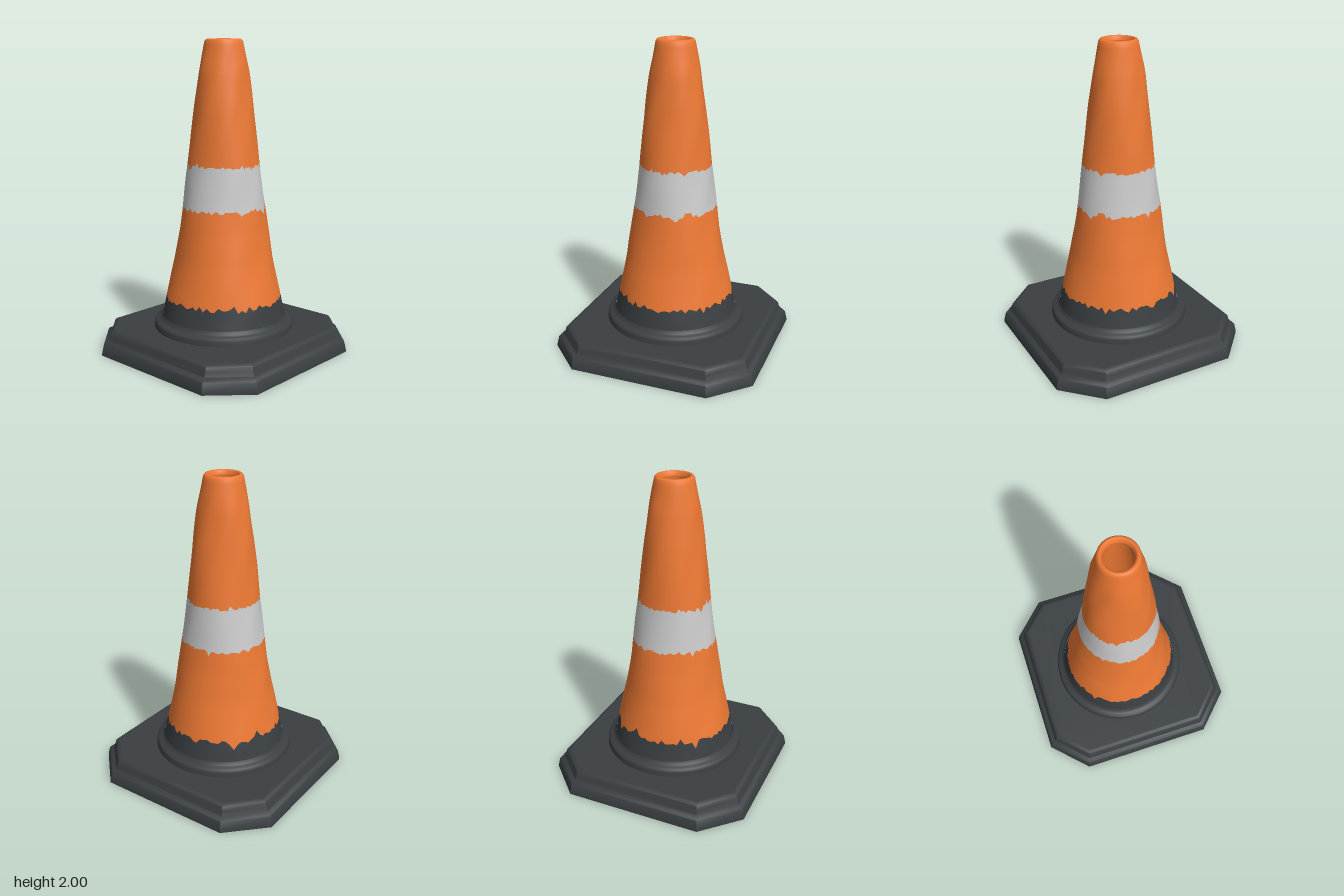
import * as THREE from 'three';
import { toCreasedNormals } from 'three/addons/utils/BufferGeometryUtils.js';

const SEG = 96;
const orange = new THREE.MeshStandardMaterial({ color: 0xee7934 });
const dark = new THREE.MeshStandardMaterial({ color: 0x3a3f42 });
const grey = new THREE.MeshStandardMaterial({ color: 0xcccccc });

function seeded(seed) {
  return () => (seed = (seed * 16807) % 2147483647) / 2147483647;
}

// Cone outline as [height, radius]
const OUTLINE = [[0.2, 0.405], [0.36, 0.373], [0.6, 0.32], [0.8, 0.286], [1, 0.258], [1.2, 0.232],
  [1.4, 0.21], [1.6, 0.186], [1.8, 0.158], [1.9, 0.138], [1.96, 0.126], [2, 0.118]];

function coneRadius(y) {
  let i = 0;
  while (i < OUTLINE.length - 2 && y > OUTLINE[i + 1][0]) i++;
  const [y0, r0] = OUTLINE[i], [y1, r1] = OUTLINE[i + 1];
  return r0 + (r1 - r0) * (y - y0) / (y1 - y0);
}

// Point on the slightly dented cone wall
function conePoint(a, y) {
  const fade = Math.min(1, (y - 0.22) * 8, (1.96 - y) * 8);
  const dent = 0.0022 * Math.sin(3 * a + 7 * y) + 0.0016 * Math.sin(7 * a - 13 * y + 1);
  const r = coneRadius(y) + Math.max(0, fade) * dent;
  return new THREE.Vector3(r * Math.sin(a), y, r * Math.cos(a));
}

// Ragged paint line around the cone, with a few longer spikes
function raggedEdge(y, size, seed) {
  const rnd = seeded(seed);
  const e = Array.from({ length: SEG }, () => {
    const spike = rnd() < 0.14 ? 2.2 : 0.8;
    return y + (rnd() - 0.5) * size * spike;
  });
  return [...e, e[0]];
}

function flatEdge(y) {
  return new Array(SEG + 1).fill(y);
}

// Wall of the cone between two paint lines
function coneBand(low, high, rows) {
  const pos = [], nor = [], idx = [];
  for (let j = 0; j <= rows; j++) {
    for (let i = 0; i <= SEG; i++) {
      const a = i / SEG * Math.PI * 2;
      const y = low[i] + (high[i] - low[i]) * j / rows;
      const p = conePoint(a, y);
      const da = conePoint(a + 0.03, y).sub(conePoint(a - 0.03, y));
      const dy = conePoint(a, y + 0.03).sub(conePoint(a, y - 0.03));
      const n = da.cross(dy).normalize();
      pos.push(p.x, p.y, p.z);
      nor.push(n.x, n.y, n.z);
      if (i < SEG && j < rows) {
        const k = j * (SEG + 1) + i, m = k + SEG + 1;
        idx.push(k, k + 1, m + 1, k, m + 1, m);
      }
    }
  }
  const g = new THREE.BufferGeometry();
  g.setAttribute('position', new THREE.Float32BufferAttribute(pos, 3));
  g.setAttribute('normal', new THREE.Float32BufferAttribute(nor, 3));
  g.setIndex(idx);
  return g;
}

// Square with cut corners, inset evenly from the widest outline
function octagon(h) {
  const c = 0.445 - (0.67 - h) * 0.414;
  return [[h, -c], [h, c], [c, h], [-c, h], [-h, c], [-h, -c], [-c, -h], [c, -h]];
}

// Skin through a stack of octagons given as [half width, height]
function octagonSkin(profile) {
  const pos = [], idx = [];
  profile.forEach(([h, y], j) => octagon(h).forEach(([x, z], i) => {
    pos.push(x, y, -z);
    if (j < profile.length - 1) {
      const a = j * 8 + i, b = j * 8 + (i + 1) % 8;
      idx.push(a, b, b + 8, a, b + 8, a + 8);
    }
  }));
  const g = new THREE.BufferGeometry();
  g.setAttribute('position', new THREE.Float32BufferAttribute(pos, 3));
  g.setIndex(idx);
  return toCreasedNormals(g, 0.7);
}

// Flat octagon sheet with a round hole
function octagonSheet(h, hole, y, facing) {
  const s = new THREE.Shape(octagon(h).map(([x, z]) => new THREE.Vector2(x, z)));
  s.holes.push(new THREE.Path().absarc(0, 0, hole, 0, Math.PI * 2, true));
  return new THREE.ShapeGeometry(s, 48).rotateX(-facing * Math.PI / 2).translate(0, y, 0);
}

function lathe(points) {
  return new THREE.LatheGeometry(points.map(([r, y]) => new THREE.Vector2(r, y)), SEG);
}

export function createModel() {
  const model = new THREE.Group();
  const add = (name, geometry, material) => {
    const mesh = new THREE.Mesh(geometry, material);
    mesh.name = name;
    model.add(mesh);
  };

  // Painted cone wall, from the foot up
  const footLine = raggedEdge(0.355, 0.045, 11);
  const stripeLow = raggedEdge(0.942, 0.025, 29);
  const stripeHigh = raggedEdge(1.215, 0.025, 47);
  add('coneFoot', coneBand(flatEdge(0.215), footLine, 5), dark);
  add('lowerCone', coneBand(footLine, stripeLow, 16), orange);
  add('reflectiveStripe', coneBand(stripeLow, stripeHigh, 8), grey);
  add('upperCone', coneBand(stripeHigh, flatEdge(1.96), 20), orange);

  // Rounded mouth and hollow inside
  add('topRim', lathe([[0.126, 1.96], [0.121, 1.985], [0.112, 1.997], [0.101, 2],
    [0.091, 1.992], [0.086, 1.97]]), orange);
  add('innerWall', lathe([[0.086, 1.97], [0.15, 1.4], [0.215, 0.8], [0.29, 0.195]]), orange);

  // Raised collar where the cone meets the base, and its hollow underside
  add('collar', lathe([[0.455, 0.15], [0.452, 0.185], [0.445, 0.2], [0.425, 0.207],
    [0.41, 0.216], [0.401, 0.235]]), dark);
  add('collarUnderside', lathe([[0.29, 0.195], [0.395, 0.188], [0.42, 0.178],
    [0.432, 0.16], [0.436, 0.125]]), dark);

  // Stepped base plate with a hollow underside
  add('baseEdge', octagonSkin([[0.57, 0.125], [0.595, 0.075], [0.625, 0.065], [0.645, 0],
    [0.67, 0], [0.67, 0.015], [0.658, 0.07], [0.65, 0.08], [0.628, 0.09], [0.617, 0.115],
    [0.61, 0.142], [0.6, 0.152], [0.585, 0.156]]), dark);
  add('baseTop', octagonSheet(0.585, 0.45, 0.156, 1), dark);
  add('baseUnderside', octagonSheet(0.57, 0.436, 0.125, -1), dark);

  return model;
}
